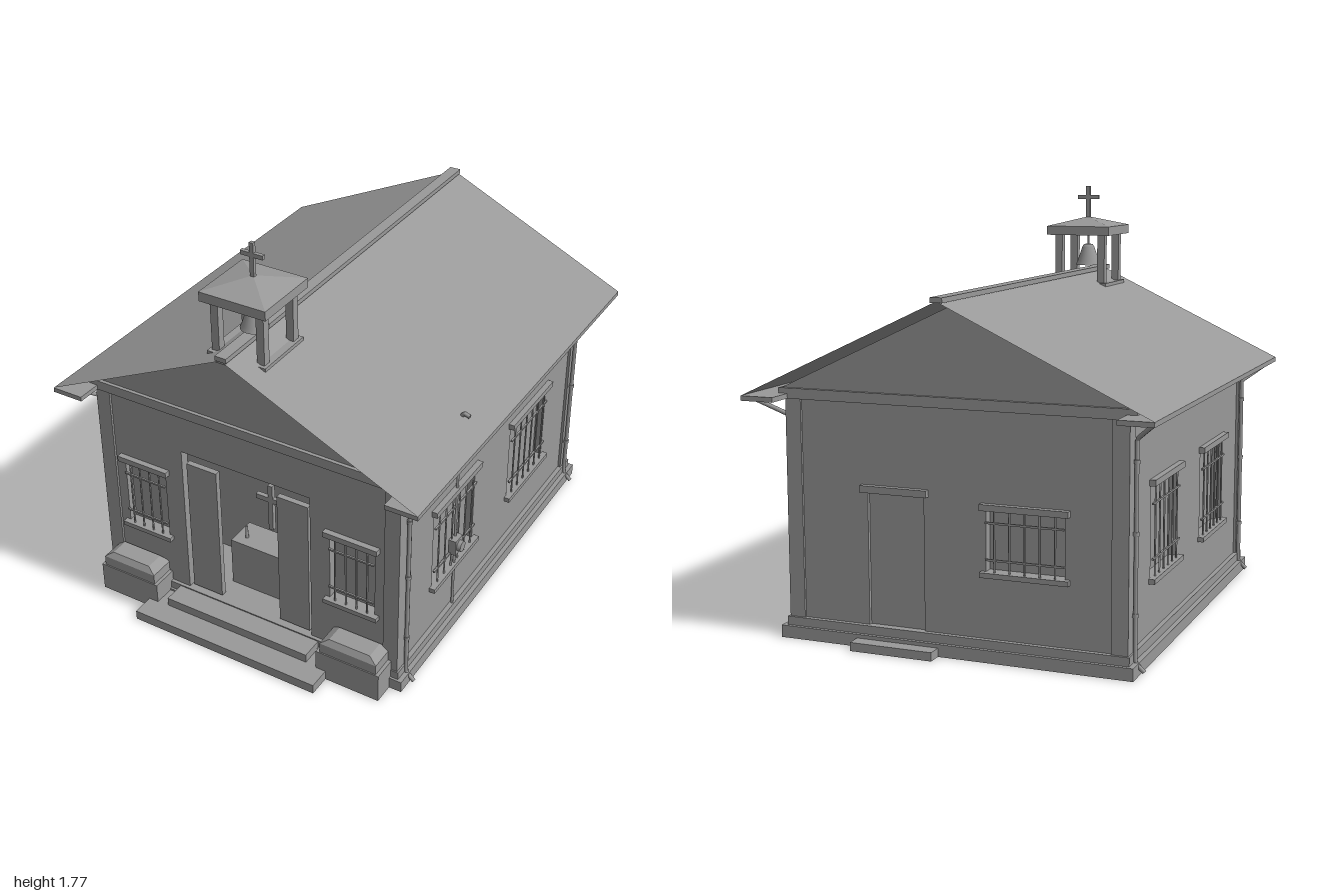
import * as THREE from 'three';

const plaster = new THREE.MeshStandardMaterial({ color: 0x999999, side: THREE.DoubleSide });
plaster.name = 'grey plaster';

export function createModel() {
  const root = new THREE.Group();
  root.name = 'chapel';

  const add = (name, geo, parent = root) => {
    const m = new THREE.Mesh(geo, plaster);
    m.name = name;
    parent.add(m);
    return m;
  };
  // Box given by its lower and upper limits on each axis
  const box = (name, x0, x1, y0, y1, z0, z1, parent = root) =>
    add(name, new THREE.BoxGeometry(x1 - x0, y1 - y0, z1 - z0)
      .translate((x0 + x1) / 2, (y0 + y1) / 2, (z0 + z1) / 2), parent);
  const tube = (name, pts, r, parent = root) => {
    const path = new THREE.CurvePath();
    const v = pts.map(p => new THREE.Vector3(...p));
    for (let i = 1; i < v.length; i++) path.add(new THREE.LineCurve3(v[i - 1], v[i]));
    return add(name, new THREE.TubeGeometry(path, 48, r, 8), parent);
  };
  // Truncated pyramid with a rectangular foot
  const frustum = (name, x, y0, y1, z, w, d, topScale) => {
    const g = new THREE.CylinderGeometry(topScale * Math.SQRT1_2, Math.SQRT1_2, 1, 4).toNonIndexed();
    g.rotateY(Math.PI / 4).scale(w, y1 - y0, d).translate(x, (y0 + y1) / 2, z);
    g.computeVertexNormals();
    return add(name, g);
  };
  // Wall group: local x along the wall, local z outward, face at z = 0
  const wall = (name, halfWidth, openings) => {
    const g = new THREE.Group();
    g.name = name;
    const s = new THREE.Shape();
    s.moveTo(-halfWidth, 0.05).lineTo(halfWidth, 0.05).lineTo(halfWidth, 0.98).lineTo(-halfWidth, 0.98);
    for (const [x0, x1, y0, y1] of openings) {
      const h = new THREE.Path();
      h.moveTo(x0, y0).lineTo(x0, y1).lineTo(x1, y1).lineTo(x1, y0);
      s.holes.push(h);
    }
    add(name + 'Panel', new THREE.ExtrudeGeometry(s, { depth: 0.04, bevelEnabled: false }).translate(0, 0, -0.04), g);
    root.add(g);
    return g;
  };
  // Barred window with lintel, sill and recessed pane
  const win = (g, [x0, x1, y0, y1], bars) => {
    box('windowPane', x0 - 0.01, x1 + 0.01, y0 - 0.01, y1 + 0.01, -0.05, -0.038, g);
    box('windowLintel', x0 - 0.02, x1 + 0.02, y1, y1 + 0.025, -0.02, 0.025, g);
    box('windowSill', x0 - 0.02, x1 + 0.02, y0 - 0.02, y0, -0.02, 0.025, g);
    for (let i = 0; i < bars; i++) {
      const x = x0 + (x1 - x0) * (i + 0.6) / (bars + 0.2);
      add('windowBar', new THREE.CylinderGeometry(0.004, 0.004, y1 - y0, 6).translate(x, (y0 + y1) / 2, 0.008), g);
    }
    for (const t of [0.2, 0.8]) {
      const y = y0 + (y1 - y0) * t;
      box('windowCrossBar', x0, x1, y - 0.004, y + 0.004, 0.004, 0.012, g);
    }
  };

  // Plinth
  box('plinth', -0.74, 0.74, 0, 0.05, -0.905, 0.815);
  box('plinthCourse', -0.72, 0.72, 0.05, 0.085, -0.89, 0.805);

  // Front wall
  const fw = [[-0.6, -0.395, 0.33, 0.645], [0.395, 0.6, 0.33, 0.645]];
  const front = wall('frontWall', 0.7, [...fw, [-0.305, 0.305, 0.08, 0.79]]);
  front.position.z = 0.79;
  fw.forEach(w => win(front, w, 4));

  // Back wall, turned so its local +x is the model's right
  const backWindow = [0.14, 0.46, 0.35, 0.59], backDoor = [-0.36, -0.12, 0.085, 0.62];
  const back = wall('backWall', 0.7, [backWindow, backDoor]);
  back.rotation.y = Math.PI;
  back.position.z = -0.87;
  win(back, backWindow, 5);
  box('backDoor', -0.36, -0.12, 0.085, 0.62, -0.04, -0.015, back);
  box('backDoorLintel', -0.385, -0.1, 0.62, 0.648, -0.02, 0.025, back);
  box('backStep', 0.05, 0.4, 0, 0.035, -0.965, -0.9);

  // Side walls
  for (const s of [-1, 1]) {
    const openings = [[0.13, 0.495], [-0.575, -0.21]].map(([a, b]) =>
      s > 0 ? [-b, -a, 0.305, 0.67] : [a, b, 0.305, 0.67]);
    const side = wall(s > 0 ? 'leftWall' : 'rightWall', 0.86, []);
    side.clear();
    root.remove(side);
    const c = -0.04; // middle of the house along z
    const local = openings.map(([a, b, y0, y1]) => [a + s * c, b + s * c, y0, y1]);
    const g = wall(s > 0 ? 'leftWall' : 'rightWall', 0.83, local);
    g.rotation.y = s * Math.PI / 2;
    g.position.set(s * 0.7, 0, c);
    local.forEach(w => win(g, w, 6));
  }

  // Corner pilasters
  for (const s of [-1, 1]) {
    const x0 = Math.min(s * 0.645, s * 0.712), x1 = Math.max(s * 0.645, s * 0.712);
    box('frontPilaster', x0, x1, 0.05, 0.97, 0.74, 0.8);
    box('backPilaster', x0, x1, 0.05, 0.97, -0.88, -0.81);
  }

  // Sanctuary behind the open doors
  box('innerWall', -0.68, 0.68, 0.05, 0.98, 0.46, 0.48);
  box('altar', -0.165, 0.165, 0.08, 0.31, 0.53, 0.67);
  box('altarCrossPost', -0.011, 0.011, 0.39, 0.615, 0.59, 0.61);
  box('altarCrossArm', -0.07, 0.07, 0.53, 0.553, 0.59, 0.61);
  for (const s of [-1, 1]) {
    add('candle', new THREE.CylinderGeometry(0.005, 0.008, 0.06, 8).translate(s * 0.117, 0.34, 0.62));
    box('doorLeaf', s * 0.2175 - 0.0725, s * 0.2175 + 0.0725, 0.095, 0.73, 0.755, 0.78);
    // Pedestals beside the steps
    box('pedestalFoot', s * 0.54 - 0.145, s * 0.54 + 0.145, 0, 0.13, 0.78, 0.905);
    box('pedestalBlock', s * 0.54 - 0.13, s * 0.54 + 0.13, 0.13, 0.175, 0.785, 0.9);
    frustum('pedestalCap', s * 0.54, 0.175, 0.2, 0.8425, 0.26, 0.115, 0.72);
  }

  // Front steps
  box('lowerStep', -0.44, 0.44, 0, 0.042, 0.8, 1.0);
  box('upperStep', -0.345, 0.345, 0.042, 0.08, 0.74, 0.9);

  // Cornice, attic and roof
  box('cornice', -0.74, 0.74, 0.97, 1.012, -0.885, 0.805);
  const tri = new THREE.Shape();
  tri.moveTo(-0.735, 1.01).lineTo(0.735, 1.01).lineTo(0, 1.358);
  add('attic', new THREE.ExtrudeGeometry(tri, { depth: 1.66, bevelEnabled: false }).translate(0, 0, -0.87));
  for (const s of [-1, 1]) {
    const len = Math.hypot(0.84, 0.395);
    const sheet = add('roofSlope', new THREE.PlaneGeometry(len, 1.91).rotateX(-Math.PI / 2));
    sheet.rotation.z = -s * Math.atan2(0.395, 0.84);
    sheet.position.set(s * 0.42, 1.1875, -0.045);
    box('eaveBoard', s * 0.77 - 0.07, s * 0.77 + 0.07, 0.97, 0.99, -1, 0.91);
  }
  box('ridgeCap', -0.025, 0.025, 1.38, 1.4, -1, 0.91);

  // Downpipes at the four corners
  for (const s of [-1, 1]) for (const [z, out] of [[0.745, 0.86], [-0.83, -0.94]]) {
    tube('downpipe', [[s * 0.825, 0.975, out], [s * 0.723, 0.895, z], [s * 0.723, 0.05, z], [s * 0.76, 0.015, z]], 0.009);
    for (const y of [0.81, 0.54, 0.23])
      add('pipeClamp', new THREE.CylinderGeometry(0.012, 0.012, 0.015, 10).translate(s * 0.723, y, z));
  }

  // Power meter, conduit and mast
  tube('conduit', [[0.71, 0.08, 0.315], [0.71, 0.41, 0.315], [0.715, 0.97, 0.325]], 0.006);
  box('meterBox', 0.7, 0.735, 0.375, 0.445, 0.295, 0.355);
  add('meterDial', new THREE.CylinderGeometry(0.024, 0.024, 0.02, 20).rotateZ(Math.PI / 2).translate(0.742, 0.41, 0.325));
  tube('mast', [[0.718, 0.98, 0.32], [0.718, 1.045, 0.32], [0.728, 1.058, 0.32], [0.752, 1.05, 0.32]], 0.009);

  // Bell tower
  const tz = 0.675;
  box('towerBase', -0.132, 0.132, 1.296, 1.338, tz - 0.135, tz + 0.135);
  for (const x of [-0.102, 0.102]) for (const z of [-0.102, 0.102])
    box('towerPost', x - 0.017, x + 0.017, 1.338, 1.555, tz + z - 0.017, tz + z + 0.017);
  box('towerEave', -0.148, 0.148, 1.555, 1.595, tz - 0.148, tz + 0.148);
  frustum('towerRoof', 0, 1.595, 1.635, tz, 0.296, 0.296, 0.02);
  const bell = [[0.058, 1.413], [0.05, 1.43], [0.028, 1.495], [0.02, 1.508], [0, 1.51]];
  add('bell', new THREE.LatheGeometry(bell.map(p => new THREE.Vector2(...p)), 24).translate(0, 0, tz));
  add('bellHanger', new THREE.CylinderGeometry(0.005, 0.005, 0.05, 8).translate(0, 1.533, tz));
  box('crossPost', -0.009, 0.009, 1.625, 1.775, tz - 0.008, tz + 0.008);
  box('crossArm', -0.05, 0.05, 1.715, 1.733, tz - 0.008, tz + 0.008);

  return root;
}
